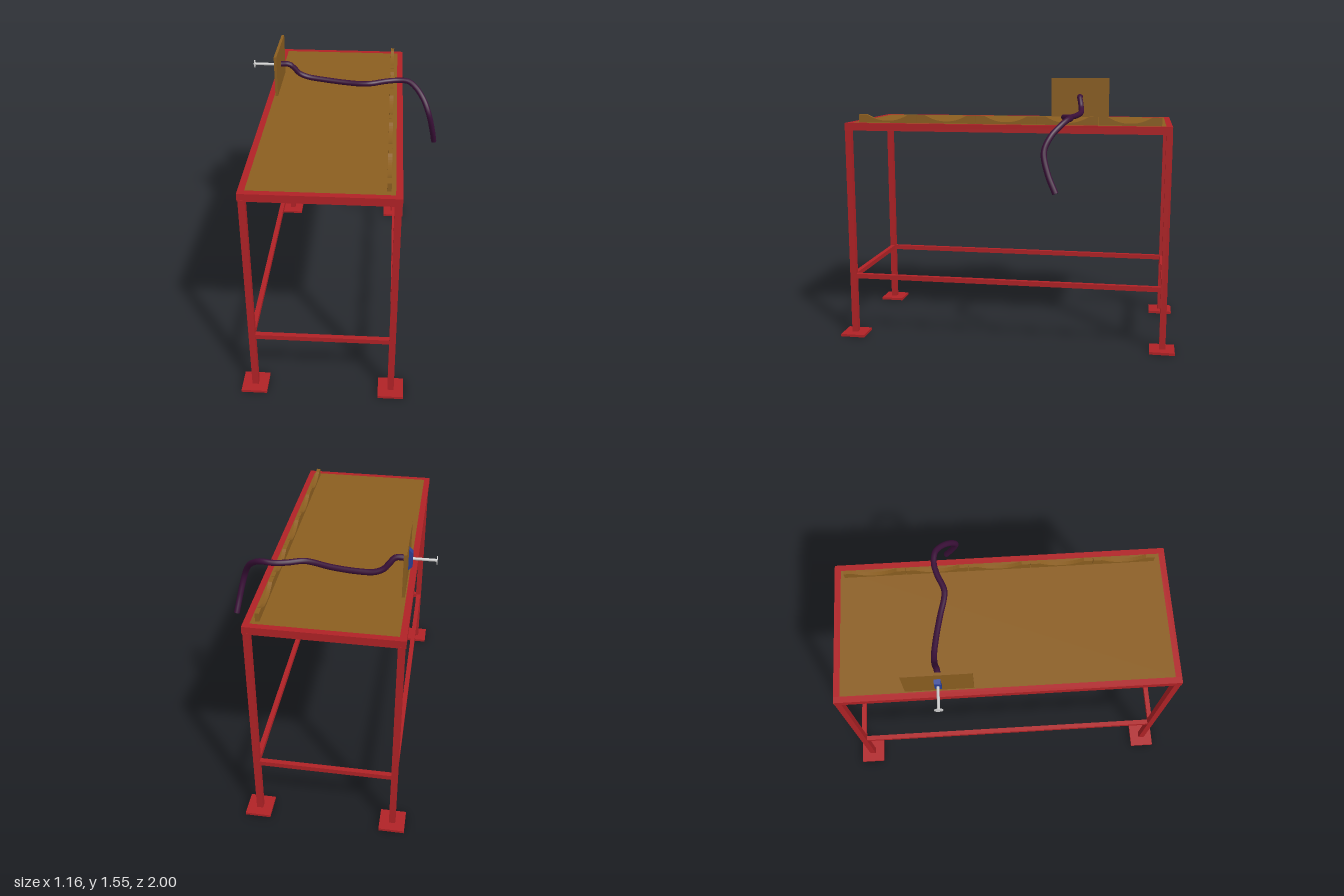
import * as THREE from 'three';

const mat = (color, extra = {}) => new THREE.MeshStandardMaterial({ color, ...extra });

export function createModel() {
  const model = new THREE.Group();
  const red = mat(0xb02226), wood = mat(0x8b5e20), blue = mat(0x2b3f94), grey = mat(0xcccccc);
  const ropeMat = mat(0x3a1038);

  const add = (name, geometry, material, x = 0, y = 0, z = 0, parent = model) => {
    const mesh = new THREE.Mesh(geometry, material);
    mesh.name = name;
    mesh.position.set(x, y, z);
    parent.add(mesh);
    return mesh;
  };
  const box = (name, w, h, d, material, x, y, z, parent) =>
    add(name, new THREE.BoxGeometry(w, h, d), material, x, y, z, parent);

  // Frame: legs with foot plates, low rails and the top rim
  const frame = new THREE.Group();
  frame.name = 'frame';
  model.add(frame);
  const midX = -0.061, legX = 0.386, legZ = 0.93, tube = 0.036;
  for (const sx of [-1, 1]) {
    const x = midX + sx * legX;
    for (const sz of [-1, 1]) {
      box('leg', tube, 1.25, tube, red, x, 0.635, sz * legZ, frame);
      box('footPlate', 0.145, 0.015, 0.145, red, x, 0.0075, sz * 0.9275, frame);
    }
    box('sideRail', 0.028, 0.028, 2 * legZ - tube, red, x, 0.369, 0, frame);
    box('sideRim', 0.035, 0.044, 1.894, red, midX + sx * 0.391, 1.276, 0, frame);
  }
  for (const sz of [-1, 1]) {
    box('endRail', 2 * legX - tube, 0.028, 0.028, red, midX, 0.369, sz * legZ, frame);
    box('endRim', 0.747, 0.044, 0.035, red, midX, 1.276, sz * 0.9295, frame);
  }

  // Table board set inside the rim
  box('tableBoard', 0.747, 0.02, 1.824, wood, midX, 1.288, 0);

  // Scalloped rest: five pieces, each with a smooth dip
  const pitch = 0.354, half = pitch / 2 - 0.0015;
  const profile = new THREE.Shape();
  profile.moveTo(-half, 0);
  profile.lineTo(half, 0);
  profile.lineTo(half, 0.047);
  profile.lineTo(0.125, 0.047);
  profile.bezierCurveTo(0.07, 0.016, 0.035, 0.012, 0, 0.012);
  profile.bezierCurveTo(-0.035, 0.012, -0.07, 0.016, -0.125, 0.047);
  profile.lineTo(-half, 0.047);
  const scallop = new THREE.ExtrudeGeometry(profile, { depth: 0.022, bevelEnabled: false, curveSegments: 8 });
  scallop.rotateY(Math.PI / 2);
  for (let i = -2; i <= 2; i++) add('scallopedRest', scallop, wood, 0.268, 1.298, i * pitch - 0.005);

  // Upright board with its tapered bracket and bolt
  const anchorY = 1.426, anchorZ = -0.372;
  box('uprightBoard', 0.016, 0.25, 0.375, wood, -0.42, 1.423, anchorZ);
  const taper = new THREE.Shape();
  taper.moveTo(-0.45, -0.042);
  taper.lineTo(-0.428, -0.064);
  taper.lineTo(-0.428, 0.06);
  taper.lineTo(-0.45, 0.038);
  add('bracket', new THREE.ExtrudeGeometry(taper, { depth: 0.036, bevelEnabled: false }),
    blue, 0, anchorY, anchorZ - 0.018);
  const bolt = (name, radius, length, x) => {
    const g = new THREE.CylinderGeometry(radius, radius, length, 16);
    g.rotateZ(Math.PI / 2);
    add(name, g, grey, x, anchorY, anchorZ);
  };
  bolt('boltShaft', 0.008, 0.13, -0.512);
  bolt('boltHead', 0.024, 0.005, -0.5775);

  // Rope lying over the table and hanging off the edge
  const path = new THREE.CatmullRomCurve3([
    [-0.415, 1.428, -0.374], [-0.36, 1.427, -0.374], [-0.332, 1.4, -0.382], [-0.3, 1.361, -0.39],
    [-0.25, 1.338, -0.394], [-0.15, 1.327, -0.382], [0, 1.323, -0.352], [0.1, 1.328, -0.327],
    [0.15, 1.332, -0.326], [0.24, 1.334, -0.362], [0.31, 1.335, -0.378], [0.38, 1.334, -0.37],
    [0.43, 1.306, -0.338], [0.48, 1.247, -0.287], [0.515, 1.165, -0.255], [0.542, 1.05, -0.28],
    [0.56, 0.945, -0.325],
  ].map(p => new THREE.Vector3(...p)));
  add('rope', new THREE.TubeGeometry(path, 90, 0.017, 12), ropeMat);
  for (const t of [0, 1]) {
    const end = path.getPointAt(t);
    const cap = add('ropeEnd', new THREE.CircleGeometry(0.017, 12), ropeMat, end.x, end.y, end.z);
    const out = path.getTangentAt(t).multiplyScalar(t ? 1 : -1);
    cap.quaternion.setFromUnitVectors(new THREE.Vector3(0, 0, 1), out);
  }

  return model;
}
